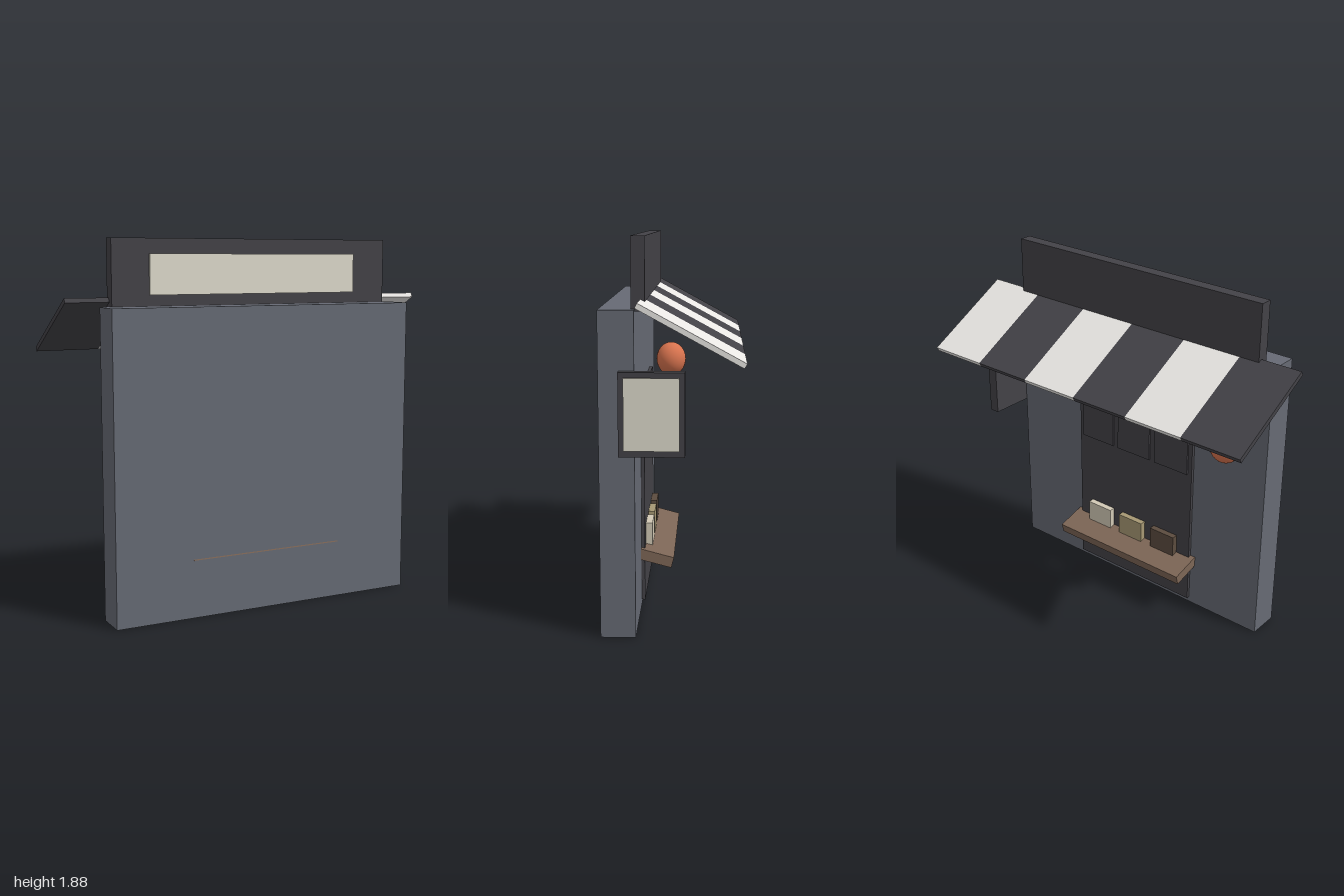
import * as THREE from 'three';

const material = (color) => new THREE.MeshStandardMaterial({ color });
const wallGrey = material(0x666a74);
const charcoal = material(0x434247);
const cream = material(0xdedbcc);
const white = material(0xeae8e5);
const wood = material(0x7d6656);
const orange = material(0xd9744f);

export function createModel() {
  const group = new THREE.Group();
  group.name = 'shopFront';

  // Box given by its extents on each axis
  const box = (name, [x0, x1], [y0, y1], [z0, z1], mat, parent = group) => {
    const mesh = new THREE.Mesh(new THREE.BoxGeometry(x1 - x0, y1 - y0, z1 - z0), mat);
    mesh.position.set((x0 + x1) / 2, (y0 + y1) / 2, (z0 + z1) / 2);
    mesh.name = name;
    parent.add(mesh);
    return mesh;
  };

  // Wall slab
  box('wall', [-0.832, 0.832], [0, 1.555], [0.172, 0.339], wallGrey);

  // Roof sign with its bright panel
  box('roofSign', [-0.777, 0.777], [1.545, 1.885], [0.125, 0.19], charcoal);
  box('roofSignPanel', [-0.582, 0.582], [1.61, 1.81], [0.185, 0.2], cream);

  // Side sign
  box('sideSign', [0.837, 0.892], [0.89, 1.28], [-0.062, 0.243], charcoal);
  box('sideSignPanel', [0.885, 0.903], [0.92, 1.255], [-0.037, 0.218], cream);

  // Door with three hanging curtain panels
  box('door', [-0.39, 0.39], [0.03, 1.13], [0.154, 0.2], charcoal);
  for (const x of [-0.255, 0, 0.255]) {
    box('curtain', [x - 0.11, x + 0.11], [0.82, 1.1], [0.144, 0.165], charcoal);
  }

  // Sloping striped awning
  const awning = new THREE.Group();
  awning.name = 'awning';
  awning.position.set(0, 1.457, -0.09);
  awning.rotation.x = -0.5;
  group.add(awning);
  for (let i = 0; i < 6; i++) {
    const x = -1 + i / 3;
    box('awningStripe', [x, x + 1 / 3], [-0.0125, 0.0125], [-0.275, 0.275],
      i % 2 ? white : charcoal, awning);
  }

  // Tilted shelf, running right through the wall
  const shelf = box('shelf', [-0.42, 0.42], [0.2525, 0.3075], [0.007, 0.339], wood);
  shelf.rotation.x = -0.26;

  // Goods on the shelf
  [0xd2c9b5, 0xa69873, 0x5c4c3f].forEach((color, i) => {
    const x = 0.225 - i * 0.225;
    box('goods', [x - 0.08, x + 0.08], [0.28, 0.412], [0.12, 0.18], material(color));
  });

  // Paper lantern
  const lantern = new THREE.Mesh(new THREE.SphereGeometry(0.086, 24, 16), orange);
  lantern.name = 'lantern';
  lantern.scale.y = 1.15;
  lantern.position.set(-0.66, 1.14, 0.06);
  group.add(lantern);

  return group;
}
